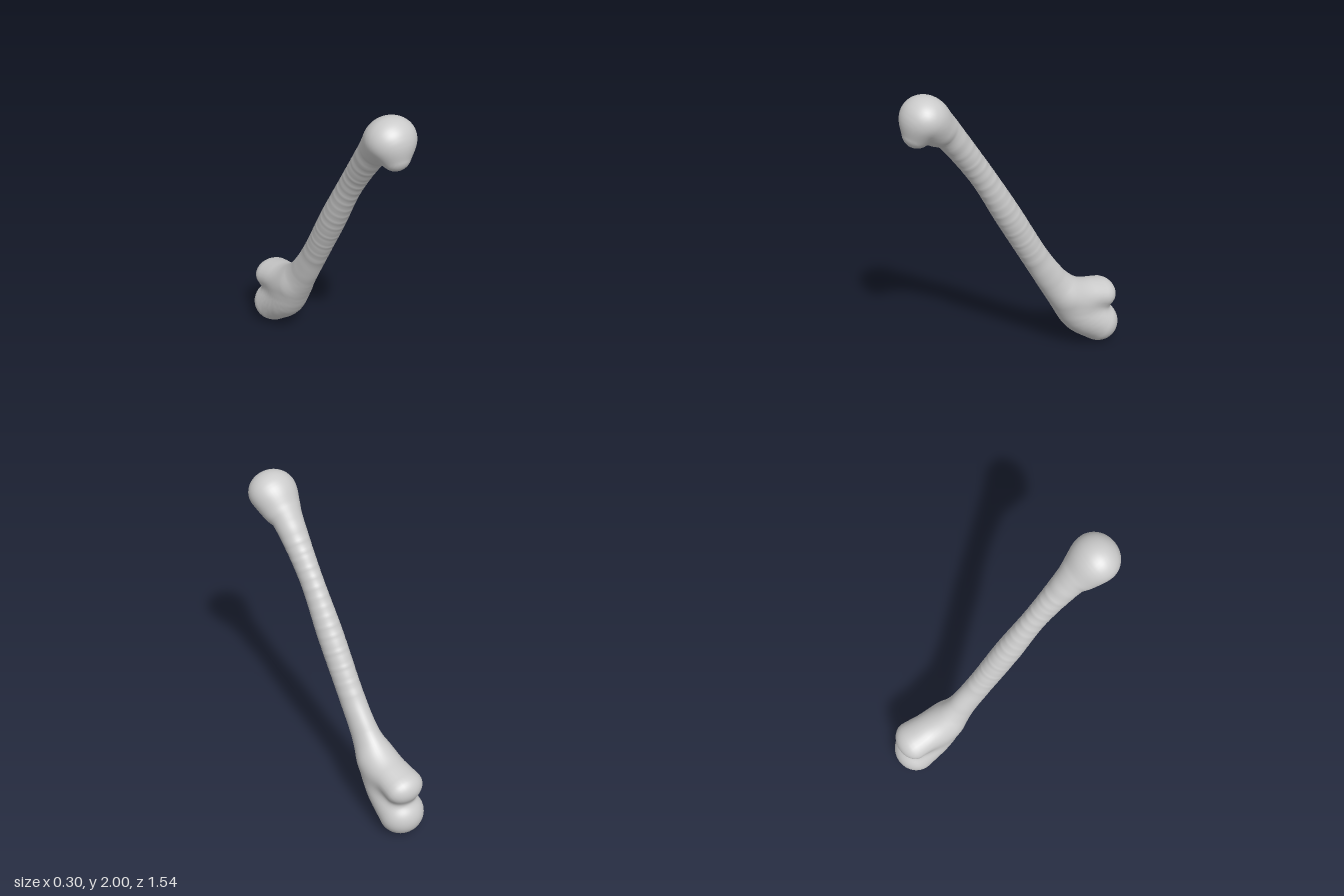
import * as THREE from 'three';

// Each limb station: [z, y, radius in the side plane, half width in x]
const SHAFT = [
  [0.685, 1.785, 0.085, 0.09], [0.64, 1.87, 0.13, 0.15], [0.56, 1.80, 0.115, 0.125],
  [0.48, 1.73, 0.09, 0.095], [0.267, 1.43, 0.078, 0.07], [0.075, 1.107, 0.086, 0.08],
  [-0.125, 0.765, 0.087, 0.077], [-0.265, 0.55, 0.1, 0.083], [-0.37, 0.415, 0.122, 0.113],
  [-0.48, 0.25, 0.13, 0.13], [-0.63, 0.137, 0.135, 0.146],
];
const UPPER_LOBE = [
  [-0.38, 0.42, 0.08, 0.1], [-0.5, 0.385, 0.1, 0.12], [-0.64, 0.355, 0.1, 0.13],
];
// Centre line the skin is cast from, head to tail: [z, y]
const CORE = [
  [0.64, 1.84], [0.48, 1.73], [0.267, 1.43], [0.075, 1.107], [-0.125, 0.765],
  [-0.265, 0.55], [-0.38, 0.40], [-0.49, 0.30], [-0.61, 0.25],
];

const spline = (points) => new THREE.CatmullRomCurve3(points, false, 'catmullrom', 0.5);

// Dense row of ellipsoids along a limb
function sampleLimb(stations, count) {
  const path = spline(stations.map(([z, y]) => new THREE.Vector3(0, y, z)));
  const size = spline(stations.map(([, , r, w]) => new THREE.Vector3(w, r, 0)));
  return Array.from({ length: count + 1 }, (_, i) => {
    const c = path.getPoint(i / count), s = size.getPoint(i / count);
    return { y: c.y, z: c.z, w: s.x, r: s.y };
  });
}

function limbDistance(balls, p) {
  let best = Infinity;
  for (const b of balls) {
    const x = p.x / b.w, y = (p.y - b.y) / b.r, z = (p.z - b.z) / b.r;
    best = Math.min(best, (Math.sqrt(x * x + y * y + z * z) - 1) * Math.min(b.r, b.w));
  }
  return best;
}

// Smooth blend of the two limbs
function makeField() {
  const shaft = sampleLimb(SHAFT, 120), lobe = sampleLimb(UPPER_LOBE, 24), k = 0.06;
  return (p) => {
    const a = limbDistance(shaft, p), b = limbDistance(lobe, p);
    const h = Math.max(k - Math.abs(a - b), 0) / k;
    return Math.min(a, b) - h * h * k / 4;
  };
}

// Sphere grid stretched along the core, every vertex pushed out to the blended surface
function boneGeometry() {
  const field = makeField();
  const core = spline(CORE.map(([z, y]) => new THREE.Vector3(0, y, z)));
  const geometry = new THREE.SphereGeometry(1, 48, 150);
  const { position, normal, uv } = geometry.attributes;
  const CAP = 0.17;
  const X = new THREE.Vector3(1, 0, 0);
  const p = new THREE.Vector3(), n = new THREE.Vector3(), q = new THREE.Vector3();

  for (let i = 0; i < position.count; i++) {
    const along = 1 - uv.getY(i), phi = uv.getX(i) * Math.PI * 2;
    const t = THREE.MathUtils.clamp((along - CAP) / (1 - 2 * CAP), 0, 1);
    let polar = Math.PI / 2;
    if (along < CAP) polar *= along / CAP;
    if (along > 1 - CAP) polar *= 1 + (along - 1 + CAP) / CAP;

    const centre = core.getPointAt(t);
    const T = core.getTangentAt(t).negate();
    const N = new THREE.Vector3().crossVectors(X, T);
    const dir = T.multiplyScalar(Math.cos(polar))
      .addScaledVector(X, -Math.cos(phi) * Math.sin(polar))
      .addScaledVector(N, Math.sin(phi) * Math.sin(polar)).normalize();

    let reach = 0;
    for (let step = 0; step < 50; step++) {
      const d = field(p.copy(centre).addScaledVector(dir, reach));
      reach -= d * 0.9;
      if (Math.abs(d) < 1e-5) break;
    }
    p.copy(centre).addScaledVector(dir, reach);
    position.setXYZ(i, p.x, p.y, p.z);

    // Normal from the slope of the field
    const e = 0.006;
    for (const axis of ['x', 'y', 'z']) {
      q.copy(p)[axis] += e;
      const ahead = field(q);
      q[axis] -= 2 * e;
      n[axis] = ahead - field(q);
    }
    n.normalize();
    normal.setXYZ(i, n.x, n.y, n.z);
  }
  return geometry;
}

export function createModel() {
  const group = new THREE.Group();
  group.name = 'legBone';
  const bone = new THREE.Mesh(boneGeometry(), new THREE.MeshStandardMaterial({ color: 0xcccccc }));
  bone.name = 'bone';
  group.add(bone);
  return group;
}
